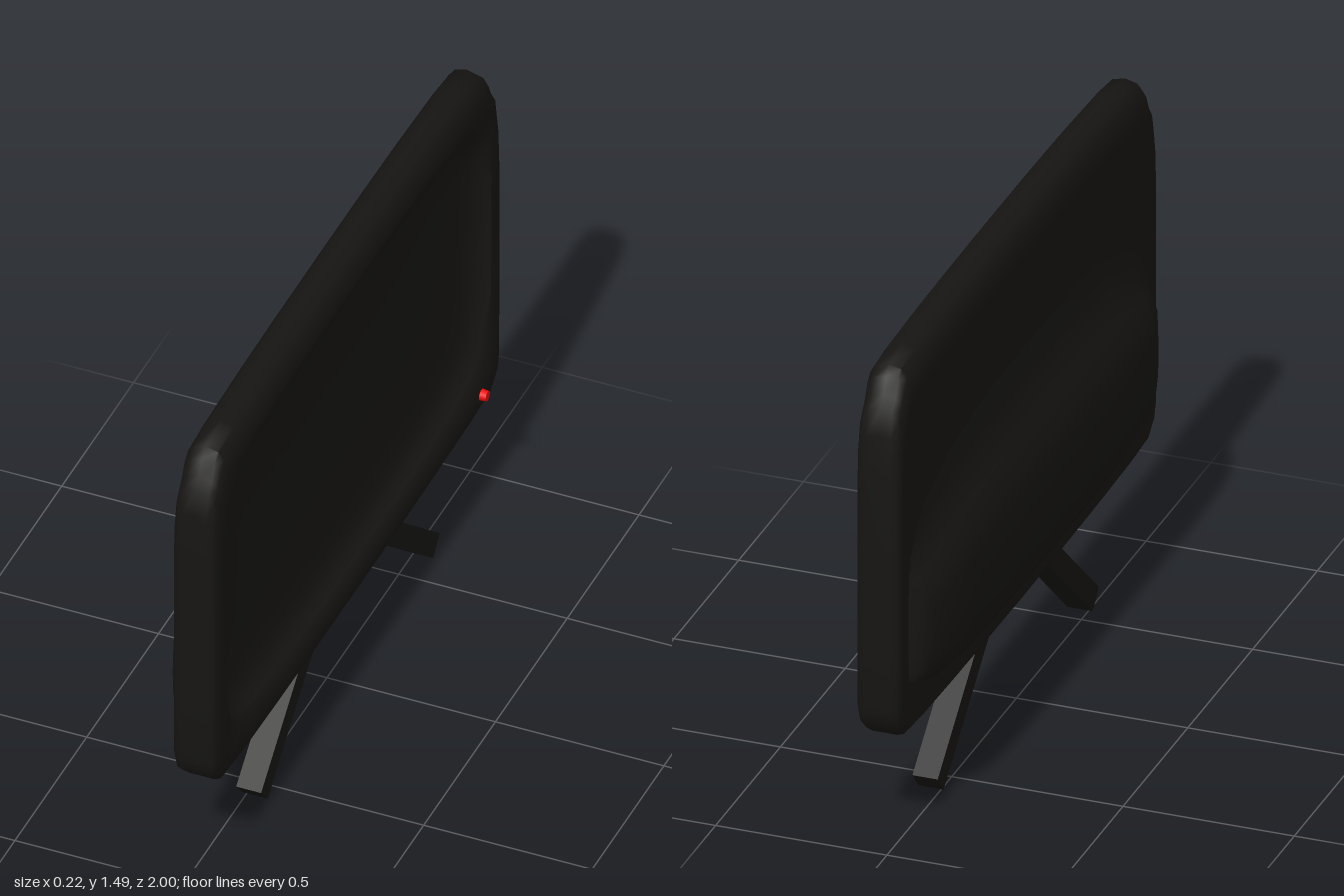
import * as THREE from 'three';
import { toCreasedNormals } from 'three/addons/utils/BufferGeometryUtils.js';

const black = new THREE.MeshStandardMaterial({ color: 0x161513 });
const red = new THREE.MeshStandardMaterial({ color: 0xf00808 });

// Half outline of the casing (z, y), from top centre round to bottom centre
const HALF = [
  [0, 1.488], [0.3, 1.487], [0.55, 1.483], [0.8, 1.473], [0.91, 1.46], [0.935, 1.435], [0.955, 1.39],
  [0.98, 1.355], [0.993, 1.28], [1, 1.15], [1, 0.9], [1, 0.65], [0.998, 0.43], [0.985, 0.385],
  [0.94, 0.342], [0.8, 0.331], [0.55, 0.325], [0.3, 0.322], [0, 0.32],
];
const OUTLINE = [...HALF, ...HALF.slice(1, -1).reverse().map(([z, y]) => [-z, y])]
  .map(([z, y]) => [z, (y - 0.904) / 0.584]);

// Joins rows of points into a surface; closed rows wrap round
function surface(rows, closed) {
  const n = rows[0].length, index = [];
  for (let i = 0; i < rows.length - 1; i++) {
    for (let j = 0; j < (closed ? n : n - 1); j++) {
      const a = i * n + j, b = i * n + (j + 1) % n;
      index.push(a, b, a + n, b, b + n, a + n);
    }
  }
  const g = new THREE.BufferGeometry();
  g.setAttribute('position', new THREE.Float32BufferAttribute(rows.flat(2), 3));
  g.setIndex(index);
  return toCreasedNormals(g, 0.9);
}

// One casing ring: depth x, half width, bottom and top height, corner rounding
function ring([x, hz, y0, y1, k = 0]) {
  return OUTLINE.map(([z, v]) => {
    const f = 1 - k * (z * v) ** 4;
    return [x, (y0 + y1) / 2 + v * f * (y1 - y0) / 2, z * hz * f];
  });
}

function add(group, name, geometry, material = black) {
  const mesh = new THREE.Mesh(geometry, material);
  mesh.name = name;
  group.add(mesh);
  return mesh;
}

export function createModel() {
  const group = new THREE.Group();
  group.name = 'television';

  // Casing with rounded top edge and dished screen; open behind the rear housing
  const rings = [
    [-0.035, 0.86, 0.45, 1, 0.12], [-0.035, 0.97, 0.355, 1.38], [-0.035, 0.985, 0.34, 1.41],
    [-0.026, 0.997, 0.326, 1.453], [-0.008, 1, 0.32, 1.478], [0.027, 1, 0.32, 1.488],
    [0.065, 1, 0.32, 1.478], [0.083, 0.997, 0.326, 1.453], [0.092, 0.985, 0.34, 1.41],
    [0.092, 0.93, 0.415, 1.39, 0.09], [0.078, 0.92, 0.428, 1.372, 0.1],
    [0.06, 0.9, 0.445, 1.35, 0.11], [0.047, 0.865, 0.475, 1.32, 0.11],
    [0.04, 0.81, 0.52, 1.27, 0.11], [0.037, 0.7, 0.6, 1.19, 0.1], [0.037, 0, 0.9, 0.9],
  ];
  add(group, 'casing', surface(rings.map(ring), true));

  // Rear housing: height profile swept across the width, narrowing at both ends
  const profile = [[-0.025, 0.42], [-0.045, 0.425], [-0.075, 0.435], [-0.1, 0.49], [-0.109, 0.57],
    [-0.112, 0.66], [-0.11, 0.75], [-0.105, 0.835], [-0.074, 0.9], [-0.047, 0.965], [-0.04, 1.04], [-0.03, 1.16]];
  const across = [[0, 1], [0.2, 1], [0.4, 0.99], [0.6, 0.97], [0.8, 0.9], [0.87, 0.7], [0.91, 0.52], [0.925, 0.1], [0.93, 0]];
  const span = [...across.slice(1).reverse().map(([z, d]) => [-z, d]), ...across];
  const rows = profile.map(([x, y]) => span.map(([z, d]) => [
    -0.025 + (x + 0.025) * d,
    0.62 + (y - 0.62) * (1 - 0.35 * (z / 0.93) ** 4),
    z,
  ]));
  add(group, 'rearHousing', surface(rows, false));

  // Splayed legs
  for (const [name, z, y, angle] of [['leftLeg', 0.581, 0.026, 0.73], ['rightLeg', -0.617, 0.034, -0.71]]) {
    const leg = new THREE.Group();
    leg.name = name;
    leg.position.set(0.025, y, z);
    leg.rotation.x = angle;
    const bar = new THREE.BoxGeometry(0.074, 0.07, 0.47);
    bar.translate(0, 0, -Math.sign(z) * 0.235);
    add(leg, name + 'Bar', bar);
    group.add(leg);
  }

  // Standby light
  const light = add(group, 'standbyLight', new THREE.CylinderGeometry(0.015, 0.02, 0.04, 10), red);
  light.rotation.z = -Math.PI / 2;
  light.position.set(0.091, 0.392, -0.86);
  return group;
}
